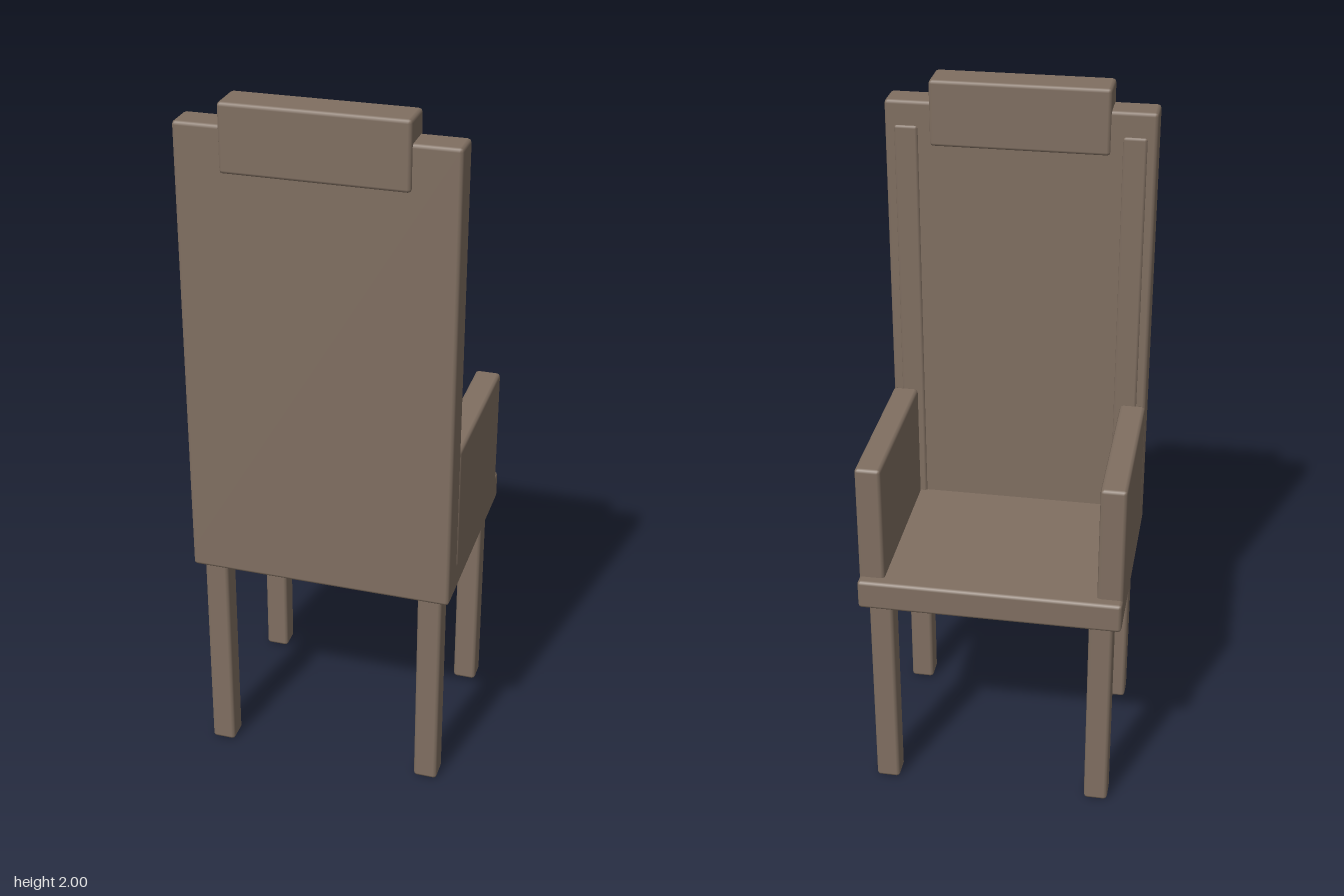
import * as THREE from 'three';
import { RoundedBoxGeometry } from 'three/addons/geometries/RoundedBoxGeometry.js';

export function createModel() {
  const chair = new THREE.Group();
  chair.name = 'highBackArmchair';
  const wood = new THREE.MeshStandardMaterial({ color: 0x806f61 });
  wood.name = 'brownWood';

  // Box with softly bevelled edges, given by its limits on each axis
  function block(name, [x0, x1], [y0, y1], [z0, z1], bevel = 0.01) {
    const geometry = new RoundedBoxGeometry(x1 - x0, y1 - y0, z1 - z0, 1, bevel);
    const mesh = new THREE.Mesh(geometry, wood);
    mesh.name = name;
    mesh.position.set((x0 + x1) / 2, (y0 + y1) / 2, (z0 + z1) / 2);
    chair.add(mesh);
  }

  // The same block on both sides of the chair
  function pair(name, [x0, x1], y, z, bevel) {
    block(name + 'Left', [x0, x1], y, z, bevel);
    block(name + 'Right', [-x1, -x0], y, z, bevel);
  }

  block('seat', [-0.373, 0.373], [0.63, 0.718], [-0.315, 0.305]);
  block('backrest', [-0.373, 0.373], [0.69, 1.938], [0.212, 0.305]);
  block('headrest', [-0.248, 0.248], [1.815, 2], [0.204, 0.315]);

  // Armrests standing on the seat
  pair('armrest', [0.3, 0.373], [0.69, 1.065], [-0.285, 0.212]);

  // Posts standing slightly proud of the backrest
  pair('backPost', [0.28, 0.347], [0.69, 1.87], [0.206, 0.28], 0.008);

  // Legs
  pair('openSideLeg', [0.279, 0.348], [0, 0.64], [-0.286, -0.217]);
  pair('backrestLeg', [0.279, 0.348], [0, 0.64], [0.213, 0.283]);

  return chair;
}
